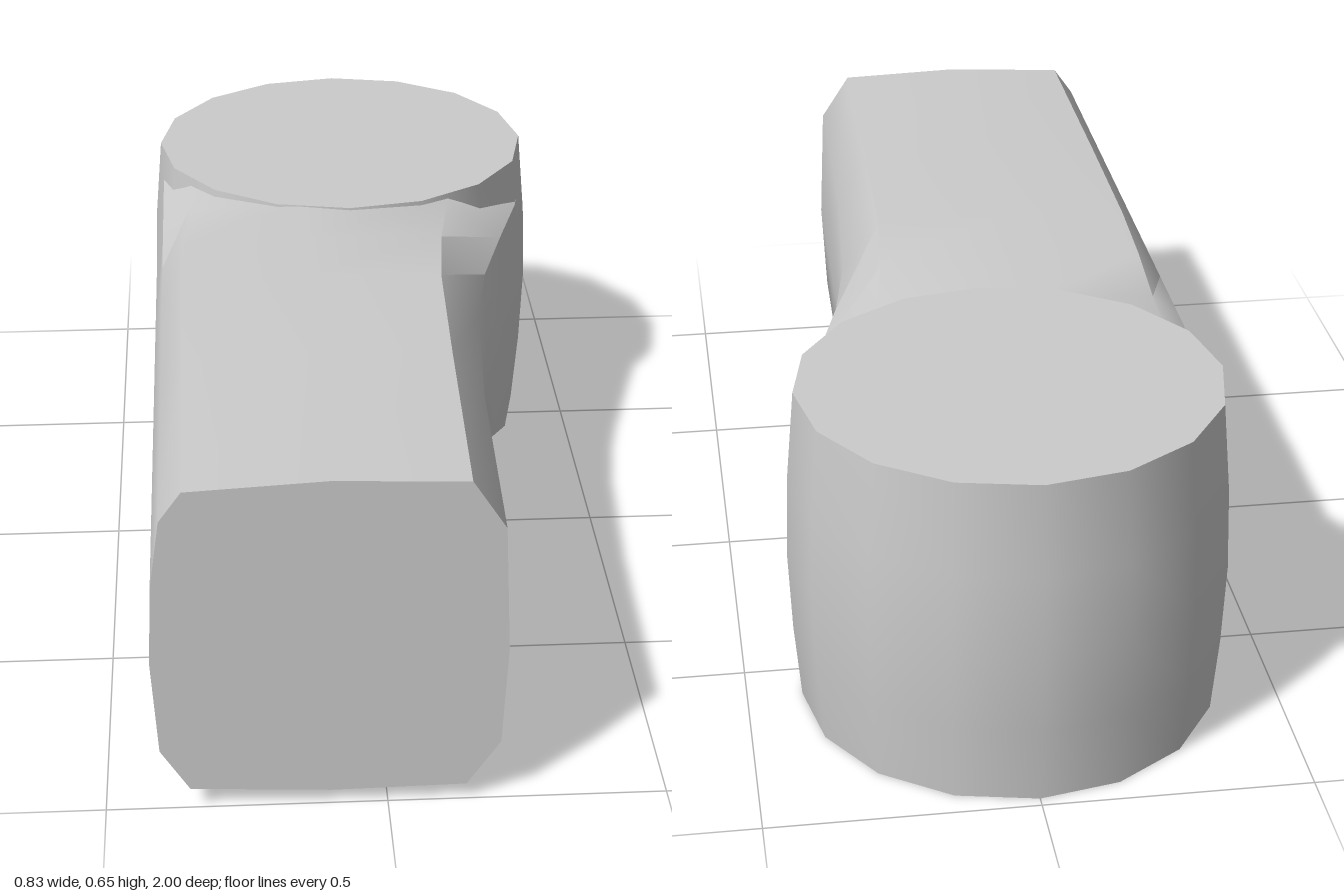
import * as THREE from 'three';
import { toCreasedNormals } from 'three/addons/utils/BufferGeometryUtils.js';

const material = new THREE.MeshStandardMaterial({ color: 0xcccccc });

function part(name, geometry) {
  const mesh = new THREE.Mesh(toCreasedNormals(geometry, 0.7), material);
  mesh.name = name;
  return mesh;
}

// Slightly bulging upright drum with flat ends
function makeDrum() {
  const profile = [[0, 0], [0.395, 0], [0.408, 0.15], [0.415, 0.31], [0.41, 0.47], [0.395, 0.645], [0, 0.645]];
  const geometry = new THREE.LatheGeometry(profile.map(([r, y]) => new THREE.Vector2(r, y)), 16);
  return geometry.translate(0, 0, -0.585);
}

// Chamfered section of the arm; side and edge are the x of the right face and of its chamfer
function section([z, side, edge, left, bottom, top]) {
  return [
    [left, bottom + 0.012], [-0.1, bottom], [edge, bottom + 0.004],
    [side - 0.01, 0.118], [side, 0.31], [side - 0.01, 0.55],
    [edge, top - 0.008], [-0.1, top], [left, top - 0.014],
    [-0.39, 0.58], [-0.408, 0.45], [-0.414, 0.3], [-0.402, 0.12],
  ].map(([x, y]) => [x, y, z]);
}

// Arm lofted from the free end into the drum, flaring on its right face
function makeArm() {
  const rings = [
    [1, 0.21, 0.14, -0.35, 0.027, 0.65],
    [0.5, 0.222, 0.15, -0.35, 0.02, 0.652],
    [0.15, 0.245, 0.16, -0.35, 0.013, 0.649],
    [-0.05, 0.278, 0.178, -0.345, 0.008, 0.645],
    [-0.24, 0.33, 0.206, -0.335, 0.004, 0.642],
    [-0.42, 0.382, 0.24, -0.33, 0.006, 0.639],
    [-0.585, 0.405, 0.26, -0.33, 0.008, 0.637],
  ].map(section);
  const n = rings[0].length;
  const index = [];
  for (let r = 0; r < rings.length - 1; r++) {
    for (let i = 0; i < n; i++) {
      const a = r * n + i, b = r * n + (i + 1) % n;
      index.push(a, a + n, b, b, a + n, b + n);
    }
  }
  // End faces
  const last = (rings.length - 1) * n;
  for (let i = 1; i < n - 1; i++) {
    index.push(0, i, i + 1, last, last + i + 1, last + i);
  }
  const geometry = new THREE.BufferGeometry();
  geometry.setAttribute('position', new THREE.Float32BufferAttribute(rings.flat(2), 3));
  geometry.setIndex(index);
  return geometry;
}

export function createModel() {
  const model = new THREE.Group();
  model.name = 'drumWithArm';
  model.add(part('drum', makeDrum()), part('arm', makeArm()));
  return model;
}
